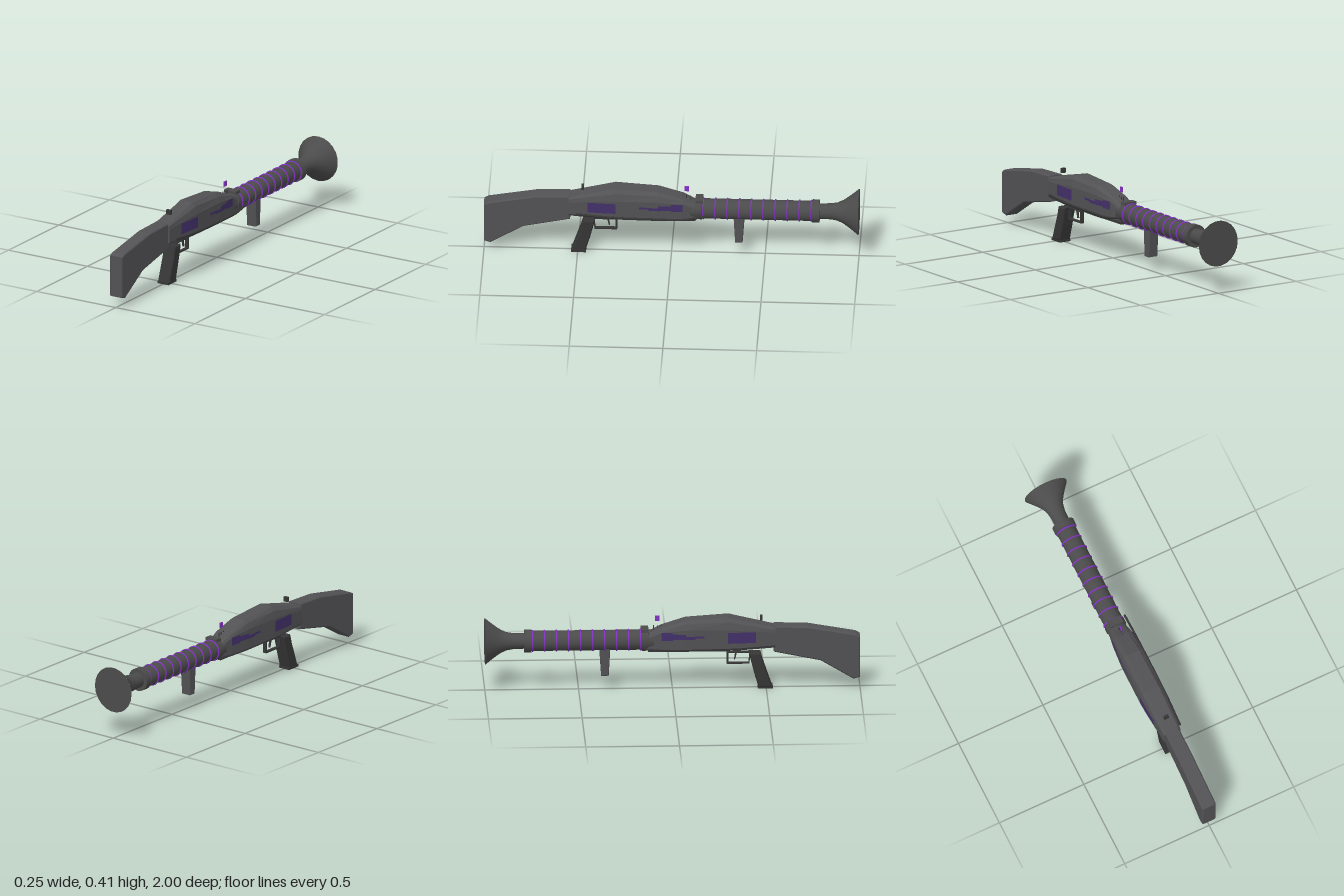
import * as THREE from 'three';

const BARREL_Y = 0.272;

// Receiver stations: z, half width, bottom y, shoulder y, top y, top half width
const STATIONS = [
  [0.548, 0.05, 0.232, 0.318, 0.342, 0.036],
  [0.36, 0.064, 0.222, 0.335, 0.386, 0.038],
  [0.30, 0.067, 0.221, 0.34, 0.401, 0.038],
  [0.07, 0.067, 0.218, 0.34, 0.386, 0.036],
  [-0.06, 0.057, 0.217, 0.325, 0.346, 0.032],
  [-0.13, 0.047, 0.22, 0.292, 0.312, 0.028],
  [-0.18, 0.042, 0.25, 0.26, 0.272, 0.026],
];

function halfWidth(z) {
  for (let i = 0; i < STATIONS.length - 1; i++) {
    const a = STATIONS[i], b = STATIONS[i + 1];
    if (z <= a[0] && z >= b[0]) return THREE.MathUtils.lerp(a[1], b[1], (a[0] - z) / (a[0] - b[0]));
  }
  return 0.05;
}

// Faceted skin through matching cross-sections, ordered from +z to -z
function loft(sections) {
  const pos = [];
  const tri = (...p) => p.forEach((v) => pos.push(...v));
  const n = sections[0].length;
  for (let s = 0; s < sections.length - 1; s++) {
    const a = sections[s], b = sections[s + 1];
    for (let j = 0; j < n; j++) {
      const k = (j + 1) % n;
      tri(a[j], b[j], b[k]);
      tri(a[j], b[k], a[k]);
    }
  }
  const first = sections[0], last = sections[sections.length - 1];
  for (let j = 1; j < n - 1; j++) {
    tri(first[0], first[j], first[j + 1]);
    tri(last[0], last[j + 1], last[j]);
  }
  const geo = new THREE.BufferGeometry();
  geo.setAttribute('position', new THREE.Float32BufferAttribute(pos, 3));
  geo.computeVertexNormals();
  return geo;
}

// Side outline given as [z, y], extruded across x and centred
function sideExtrude(outline, width, bevel = 0, hole = null) {
  const toPoints = (list) => list.map(([z, y]) => new THREE.Vector2(-z, y));
  const shape = new THREE.Shape(toPoints(outline));
  if (hole) shape.holes.push(new THREE.Path(toPoints(hole)));
  const geo = new THREE.ExtrudeGeometry(shape, {
    depth: width - 2 * bevel, bevelEnabled: bevel > 0, bevelSize: bevel,
    bevelThickness: bevel, bevelOffset: -bevel, bevelSegments: 1,
  });
  geo.translate(0, 0, -(width - 2 * bevel) / 2);
  return geo.rotateY(Math.PI / 2);
}

export function createModel() {
  const model = new THREE.Group();
  model.name = 'flaredLauncher';
  const material = (name, color) => {
    const m = new THREE.MeshStandardMaterial({ color });
    m.name = name;
    return m;
  };
  const body = material('bodyGrey', 0x525154);
  const metal = material('barrelGrey', 0x4b4b4b);
  const dark = material('darkTrim', 0x363637);
  const purple = material('brightPurple', 0x8432c4);
  const inlay = material('darkPurple', 0x43306a);
  inlay.side = THREE.DoubleSide;

  const add = (name, geo, mat, x = 0, y = 0, z = 0) => {
    const mesh = new THREE.Mesh(geo, mat);
    mesh.name = name;
    mesh.position.set(x, y, z);
    model.add(mesh);
    return mesh;
  };
  const box = (name, mat, w, h, d, x, y, z) => add(name, new THREE.BoxGeometry(w, h, d), mat, x, y, z);
  // Turned part along the barrel axis, profile given as [radius, z]
  const turned = (name, profile, mat, sides = 24) => {
    const geo = new THREE.LatheGeometry(profile.map(([r, z]) => new THREE.Vector2(r, -z)), sides);
    geo.rotateX(-Math.PI / 2);
    return add(name, geo, mat, 0, BARREL_Y, 0);
  };

  // Shoulder stock
  add('stock', sideExtrude([
    [1, 0.06], [0.965, 0.05], [0.79, 0.155], [0.54, 0.207],
    [0.54, 0.35], [0.72, 0.345], [0.975, 0.3], [1, 0.287],
  ], 0.08, 0.006), body);

  // Receiver body
  add('receiver', loft(STATIONS.map(([z, w, b, s, t, tw]) => [
    [w * 0.8, b, z], [w, Math.min(b + 0.015, s), z], [w, s, z],
    [(w + tw) / 2 + 0.004, (s + t * 2) / 3, z], [tw, t, z],
    [-tw, t, z], [-(w + tw) / 2 - 0.004, (s + t * 2) / 3, z], [-w, s, z],
    [-w, Math.min(b + 0.015, s), z], [-w * 0.8, b, z],
  ])), body);
  box('underRail', dark, 0.07, 0.014, 0.44, 0, 0.219, 0.09);

  // Purple inlays that follow the receiver walls
  const plates = [
    [0.445, 0.295, 0.265, 0.325], [0.0, -0.06, 0.282, 0.326],
    [0.07, 0.0, 0.288, 0.318], [0.12, 0.07, 0.288, 0.306], [0.17, 0.12, 0.296, 0.308],
  ];
  for (const side of [1, -1]) {
    for (const [z0, z1, y0, y1] of plates) {
      const geo = new THREE.PlaneGeometry(z0 - z1, y1 - y0, 10, 1);
      geo.rotateY(side * Math.PI / 2);
      geo.translate(0, (y0 + y1) / 2, (z0 + z1) / 2);
      const p = geo.attributes.position;
      for (let i = 0; i < p.count; i++) p.setX(i, side * (halfWidth(p.getZ(i)) + 0.002));
      geo.computeVertexNormals();
      add('sideInlay', geo, inlay);
    }
  }

  // Side rod
  const rodPath = new THREE.CatmullRomCurve3([
    new THREE.Vector3(0.068, 0.256, 0.5), new THREE.Vector3(0.077, 0.246, 0.32),
    new THREE.Vector3(0.079, 0.243, 0.1), new THREE.Vector3(0.078, 0.243, -0.06),
    new THREE.Vector3(0.072, 0.262, -0.18),
  ]);
  add('sideRod', new THREE.TubeGeometry(rodPath, 24, 0.006, 8), dark);
  for (const t of [0, 1]) {
    const end = rodPath.getPoint(t);
    add('rodEnd', new THREE.SphereGeometry(0.0065, 8, 6), dark, end.x, end.y, end.z);
  }

  // Barrel with collars
  turned('barrel', [[0, -0.1], [0.054, -0.1], [0.054, -0.77], [0, -0.77]], metal);
  turned('frontCollar', [
    [0.05, -0.752], [0.062, -0.752], [0.062, -0.752], [0.062, -0.79], [0.062, -0.79], [0, -0.79],
  ], metal);
  turned('rearCollar', [
    [0.04, -0.122], [0.06, -0.13], [0.06, -0.13], [0.06, -0.162], [0.06, -0.162], [0.05, -0.17],
  ], metal, 8).rotation.z = Math.PI / 8;
  box('collarBlock', metal, 0.074, 0.016, 0.04, 0, 0.33, -0.148);

  // Purple coils
  for (let i = 0; i < 10; i++) {
    add('coilRing', new THREE.TorusGeometry(0.055, 0.0042, 8, 32), purple, 0, BARREL_Y, -0.17 - i * 0.064);
  }

  // Flared muzzle with a flat closed end
  turned('muzzleBell', [
    [0.041, -0.785], [0.043, -0.85], [0.049, -0.885], [0.062, -0.915],
    [0.08, -0.942], [0.101, -0.97], [0.125, -1],
  ], metal, 22);
  add('muzzleFace', new THREE.CircleGeometry(0.125, 22).rotateY(Math.PI), metal, 0, BARREL_Y, -1);

  // Front handle
  add('frontHandle', sideExtrude([
    [-0.34, 0.08], [-0.38, 0.08], [-0.39, 0.23], [-0.332, 0.23],
  ], 0.06, 0.004), body);

  // Rear grip, base plate and thin strap
  add('grip', sideExtrude([
    [0.53, 0.01], [0.458, 0.01], [0.432, 0.1], [0.408, 0.197], [0.47, 0.197], [0.482, 0.15],
  ], 0.072, 0.006), dark);
  box('gripBase', dark, 0.068, 0.012, 0.08, 0, 0.006, 0.495);
  box('gripPin', dark, 0.006, 0.09, 0.004, 0, 0.1, 0.444);

  // Trigger guard and trigger
  add('triggerGuard', sideExtrude(
    [[0.41, 0.133], [0.29, 0.133], [0.29, 0.2], [0.42, 0.2]], 0.02, 0,
    [[0.406, 0.14], [0.298, 0.14], [0.298, 0.194], [0.412, 0.194]],
  ), dark);
  add('trigger', sideExtrude([[0.328, 0.155], [0.334, 0.155], [0.345, 0.198], [0.336, 0.198]], 0.01), dark);

  // Sights
  box('rearSight', dark, 0.026, 0.026, 0.014, 0, 0.388, 0.474);
  box('frontSight', purple, 0.006, 0.028, 0.024, 0, 0.391, -0.08);
  for (const z of [-0.06, -0.08, -0.1]) box('sightPost', dark, 0.004, 0.035, 0.004, 0, 0.335, z);

  return model;
}
